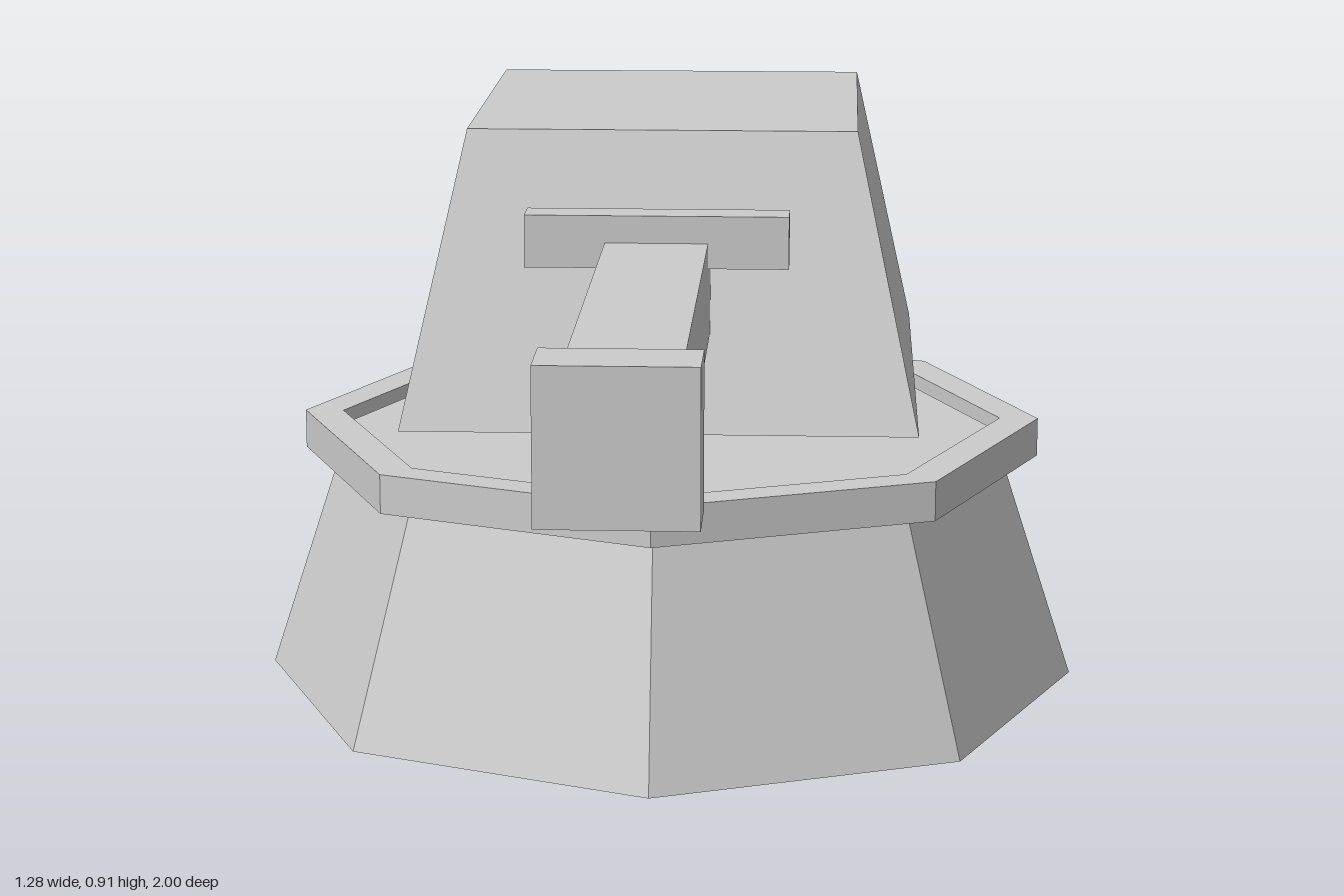
import * as THREE from 'three';

const material = new THREE.MeshStandardMaterial({ color: 0xcccccc, flatShading: true });
const BASE_Z = -0.36;

export function createModel() {
  const group = new THREE.Group();

  const add = (name, geometry, x, y, z) => {
    const mesh = new THREE.Mesh(geometry, material);
    mesh.name = name;
    mesh.position.set(x, y, z);
    group.add(mesh);
    return mesh;
  };

  // Box given by its width and its y and z ranges, centred on x = 0
  const addBox = (name, width, y0, y1, z0, z1) =>
    add(name, new THREE.BoxGeometry(width, y1 - y0, z1 - z0), 0, (y0 + y1) / 2, (z0 + z1) / 2);

  // Octagon outline with corners on the axes
  const octagon = (PathType, radius) => new PathType(
    Array.from({ length: 8 }, (_, i) => {
      const a = (i * Math.PI) / 4;
      return new THREE.Vector2(Math.cos(a) * radius, Math.sin(a) * radius);
    })
  );

  // Tapered eight-sided pedestal
  add('pedestal', new THREE.CylinderGeometry(0.509, 0.64, 0.4, 8), 0, 0.2, BASE_Z);

  // Octagonal collar around the top of the pedestal
  const collarShape = octagon(THREE.Shape, 0.58);
  collarShape.holes.push(octagon(THREE.Path, 0.52));
  const collar = new THREE.ExtrudeGeometry(collarShape, { depth: 0.06, bevelEnabled: false });
  collar.rotateX(-Math.PI / 2);
  add('collar', collar, 0, 0.357, BASE_Z);

  // Turret housing: a box narrowed towards the roof
  const housing = new THREE.BoxGeometry(0.77, 0.433, 0.895);
  const p = housing.attributes.position;
  for (let i = 0; i < p.count; i++) {
    if (p.getY(i) > 0) {
      p.setX(i, p.getX(i) * (0.58 / 0.77));
      p.setZ(i, p.getZ(i) * (0.64 / 0.895));
    }
  }
  housing.computeVertexNormals();
  add('turretHousing', housing, 0, 0.6935, -0.423);

  // Gun barrel, muzzle block and crossbar
  addBox('barrel', 0.15, 0.62, 0.77, -0.15, 0.9);
  addBox('muzzle', 0.204, 0.594, 0.797, 0.9, 1);
  addBox('crossbar', 0.384, 0.733, 0.81, 0, 0.06);

  return group;
}
